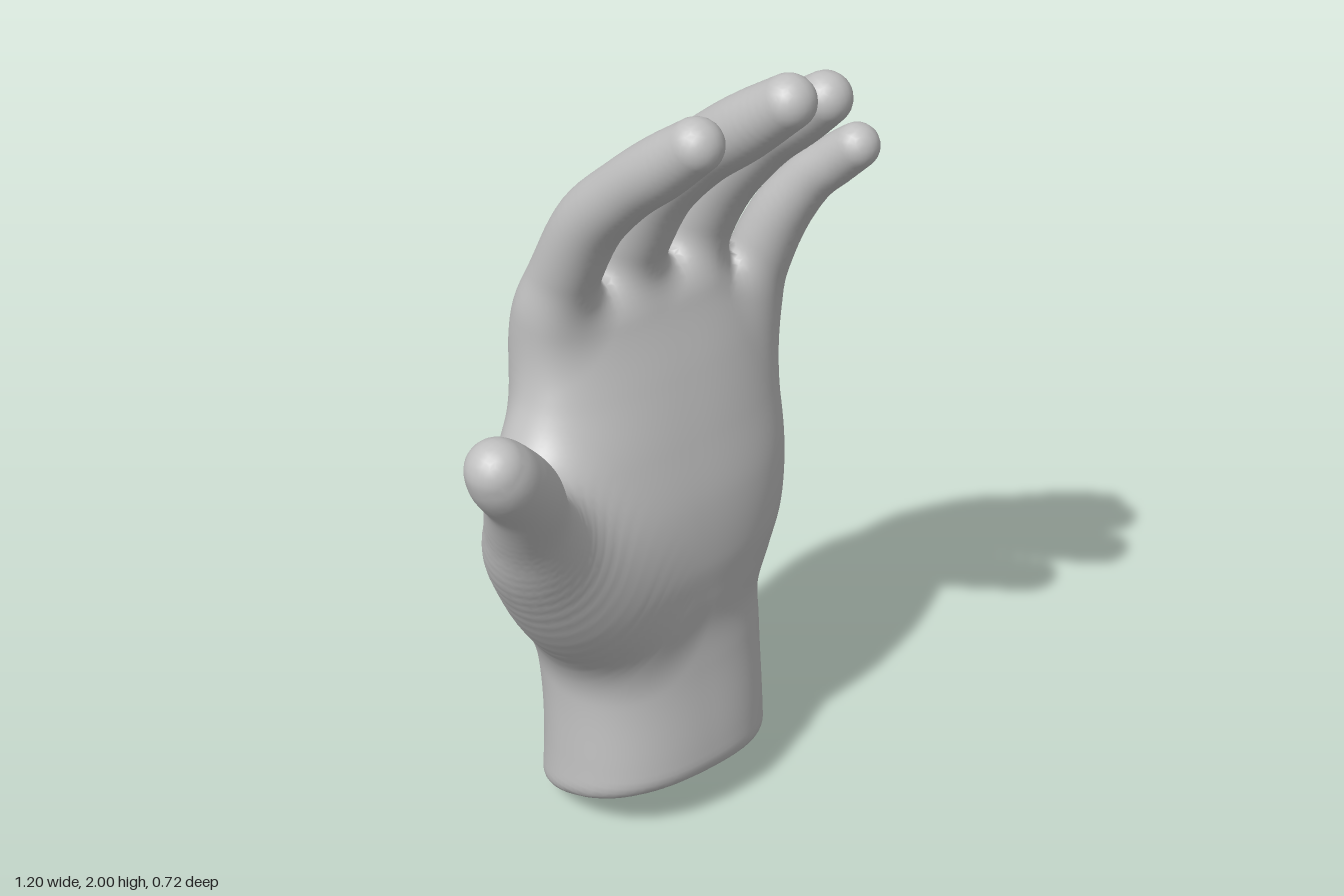
import * as THREE from 'three';

// Palm and wrist cross-sections: height, then left edge, right edge, back and palm side
const HEIGHTS = [-0.1, 0.2, 0.4, 0.5, 0.6, 0.7, 0.85, 1.0, 1.15, 1.3, 1.5];
const SECTIONS = [
  -0.17, 0.42, -0.335, 0.15,
  -0.15, 0.425, -0.322, 0.115,
  -0.152, 0.44, -0.33, 0.078,
  -0.17, 0.447, -0.338, 0.067,
  -0.2, 0.482, -0.343, 0.075,
  -0.23, 0.515, -0.345, 0.083,
  -0.255, 0.535, -0.348, 0.07,
  -0.25, 0.54, -0.348, 0.03,
  -0.18, 0.538, -0.335, -0.02,
  -0.14, 0.53, -0.285, -0.075,
  -0.13, 0.5, -0.215, -0.13,
];

// Centre lines of the digits, base to tip: x, y, z, radius
const DIGITS = {
  indexFinger: [
    [-0.03, 0.98, -0.23, 0.06], [-0.058, 1.15, -0.24, 0.076], [-0.07, 1.3, -0.222, 0.084], [-0.07, 1.45, -0.158, 0.08],
    [-0.073, 1.6, -0.074, 0.077], [-0.075, 1.72, 0.043, 0.07], [-0.072, 1.81, 0.15, 0.069], [-0.07, 1.89, 0.246, 0.06],
  ],
  middleFinger: [
    [0.135, 0.98, -0.26, 0.06], [0.13, 1.15, -0.265, 0.08], [0.13, 1.3, -0.238, 0.088], [0.133, 1.45, -0.168, 0.085],
    [0.135, 1.605, -0.082, 0.081], [0.14, 1.73, 0.038, 0.074], [0.138, 1.84, 0.173, 0.073], [0.138, 1.94, 0.3, 0.06],
  ],
  ringFinger: [
    [0.31, 0.95, -0.23, 0.055], [0.33, 1.1, -0.235, 0.074], [0.338, 1.25, -0.222, 0.083], [0.34, 1.4, -0.178, 0.081],
    [0.345, 1.55, -0.1, 0.077], [0.35, 1.69, 0.02, 0.07], [0.35, 1.785, 0.125, 0.069], [0.35, 1.85, 0.202, 0.06],
  ],
  littleFinger: [
    [0.44, 0.95, -0.15, 0.05], [0.47, 1.13, -0.147, 0.07], [0.484, 1.28, -0.125, 0.076],
    [0.504, 1.42, -0.075, 0.071], [0.525, 1.53, -0.005, 0.061], [0.54, 1.595, 0.06, 0.058], [0.546, 1.647, 0.118, 0.053],
  ],
  thumb: [
    [-0.02, 0.58, -0.07, 0.1], [-0.15, 0.7, -0.045, 0.142], [-0.29, 0.88, -0.005, 0.125],
    [-0.368, 1.02, 0.05, 0.098], [-0.435, 1.15, 0.112, 0.086], [-0.505, 1.235, 0.14, 0.08], [-0.53, 1.268, 0.146, 0.07],
  ],
};
const NAMES = [...Object.keys(DIGITS), 'palm', 'wrist'];

// Turns a centre line into short tapered capsules along a smooth curve
function makeDigit(points) {
  const curve = new THREE.CubicInterpolant(points.map((_, i) => i), points.flat(), 4);
  const steps = (points.length - 1) * 6, nodes = [];
  for (let i = 0; i <= steps; i++) nodes.push([...curve.evaluate(i / 6)]);
  return (x, y, z) => {
    let best = Infinity;
    for (let i = 0; i < steps; i++) {
      const a = nodes[i], b = nodes[i + 1];
      const dx = b[0] - a[0], dy = b[1] - a[1], dz = b[2] - a[2];
      const px = x - a[0], py = y - a[1], pz = z - a[2];
      const t = Math.min(1, Math.max(0, (px * dx + py * dy + pz * dz) / (dx * dx + dy * dy + dz * dz)));
      const d = Math.sqrt((px - dx * t) ** 2 + (py - dy * t) ** 2 + (pz - dz * t) ** 2);
      best = Math.min(best, d - a[3] - (b[3] - a[3]) * t);
    }
    return best;
  };
}

// Soft union and soft intersection of two distances
function blend(a, b, k) {
  const h = Math.max(k - Math.abs(a - b), 0) / k;
  return Math.min(a, b) - h * h * k / 4;
}
const intersect = (a, b, k) => -blend(-a, -b, k);

const digits = Object.values(DIGITS).map(makeDigit);
const sections = new THREE.CubicInterpolant(HEIGHTS, SECTIONS, 4);

// Palm and wrist, rounder on the back, cut by a slanted plane below and closed under the fingers
function palmDistance(x, y, z) {
  const [x0, x1, z0, z1] = sections.evaluate(THREE.MathUtils.clamp(y, -0.09, 1.49));
  const a = (x1 - x0) / 2, b = (z1 - z0) / 2, depth = (z - (z0 + z1) / 2) / b;
  const n = depth < 0 ? 2.05 : 2.4;
  const u = Math.abs(x - (x0 + x1) / 2) / a, w = Math.abs(depth);
  const r = Math.max(Math.pow(u ** n + w ** n, 1 / n), 1e-4);
  const slope = Math.hypot((u / r) ** (n - 1) / a, (w / r) ** (n - 1) / b);
  const side = (r - 1) / Math.max(slope, 0.5);
  const bottom = (0.3 * (z + 0.32) - 0.012 - 0.05 * (x - 0.13) - y) * 0.957;
  const top = y - 1.375 + 0.75 * Math.max(0, x - 0.32);
  return intersect(intersect(side, bottom, 0.05), top, 0.08);
}

// Whole hand: fingers stay apart from each other but melt into the palm
function handDistance(x, y, z) {
  let fingers = Infinity;
  for (let i = 0; i < 4; i++) fingers = Math.min(fingers, digits[i](x, y, z));
  const body = blend(palmDistance(x, y, z), digits[4](x, y, z), 0.14);
  return blend(body, fingers, 0.07);
}

// Index in NAMES of the part nearest to a point
function partAt(x, y, z) {
  const d = digits.map((f) => f(x, y, z));
  d.push(palmDistance(x, y, z));
  const nearest = d.indexOf(Math.min(...d));
  return nearest === 5 && y < 0.5 ? 6 : nearest;
}

// Skins the distance field with one smooth quad net, sorted into the named parts
function buildSkin() {
  const step = 0.016, min = [-0.65, -0.05, -0.42], size = [82, 132, 53];
  const stride = [1, size[0], size[0] * size[1]];
  const values = new Float32Array(size[0] * size[1] * size[2]);
  const eachPoint = (visit) => {
    for (let k = 0; k < size[2]; k++)
      for (let j = 0; j < size[1]; j++)
        for (let i = 0; i < size[0]; i++) visit([i, j, k], i + j * stride[1] + k * stride[2]);
  };
  eachPoint((c, id) => {
    values[id] = handDistance(min[0] + c[0] * step, min[1] + c[1] * step, min[2] + c[2] * step);
  });

  const gradient = (x, y, z, e = 0.01) => new THREE.Vector3(
    handDistance(x + e, y, z) - handDistance(x - e, y, z),
    handDistance(x, y + e, z) - handDistance(x, y - e, z),
    handDistance(x, y, z + e) - handDistance(x, y, z - e),
  ).divideScalar(2 * e);

  // One vertex per cell that the surface crosses, pulled onto the surface
  const vertexOf = new Map(), positions = [], normals = [], owner = [];
  eachPoint((c, id) => {
    if (c.some((v, d) => v >= size[d] - 1)) return;
    const sum = new THREE.Vector3();
    let hits = 0;
    for (let m = 0; m < 8; m++) {
      const corner = [m & 1, (m >> 1) & 1, m >> 2];
      const from = id + corner[0] * stride[0] + corner[1] * stride[1] + corner[2] * stride[2];
      for (let d = 0; d < 3; d++) {
        if (corner[d]) continue;
        const a = values[from], b = values[from + stride[d]];
        if ((a < 0) === (b < 0)) continue;
        const p = [...corner];
        p[d] = a / (a - b);
        sum.add(new THREE.Vector3(...p));
        hits++;
      }
    }
    if (!hits) return;
    const p = sum.divideScalar(hits).add(new THREE.Vector3(...c)).multiplyScalar(step).add(new THREE.Vector3(...min));
    const g = gradient(p.x, p.y, p.z);
    p.addScaledVector(g, -handDistance(p.x, p.y, p.z) / Math.max(g.lengthSq(), 0.5));
    vertexOf.set(id, owner.length);
    owner.push(partAt(p.x, p.y, p.z));
    positions.push(p.x, p.y, p.z);
    normals.push(...gradient(p.x, p.y, p.z).normalize().toArray());
  });

  // One quad around every grid edge that passes through the surface
  const faces = NAMES.map(() => []);
  eachPoint((c, id) => {
    for (let d = 0; d < 3; d++) {
      if (c[d] >= size[d] - 1) continue;
      const inside = values[id] < 0;
      if (inside === values[id + stride[d]] < 0) continue;
      const u = stride[(d + 1) % 3], v = stride[(d + 2) % 3];
      const q = [id - u - v, id - v, id, id - u].map((cell) => vertexOf.get(cell));
      if (!inside) q.reverse();
      faces[owner[q[0]]].push(q[0], q[1], q[2], q[0], q[2], q[3]);
    }
  });
  return { positions, normals, faces };
}

export function createModel() {
  const hand = new THREE.Group();
  hand.name = 'hand';
  const skin = new THREE.MeshStandardMaterial({ color: 0xc0c0c0 });
  skin.name = 'plain grey';

  const { positions, normals, faces } = buildSkin();
  const position = new THREE.Float32BufferAttribute(positions, 3);
  const normal = new THREE.Float32BufferAttribute(normals, 3);
  NAMES.forEach((name, i) => {
    const geometry = new THREE.BufferGeometry();
    geometry.setAttribute('position', position);
    geometry.setAttribute('normal', normal);
    geometry.setIndex(faces[i]);
    const mesh = new THREE.Mesh(geometry, skin);
    mesh.name = name;
    hand.add(mesh);
  });
  return hand;
}
